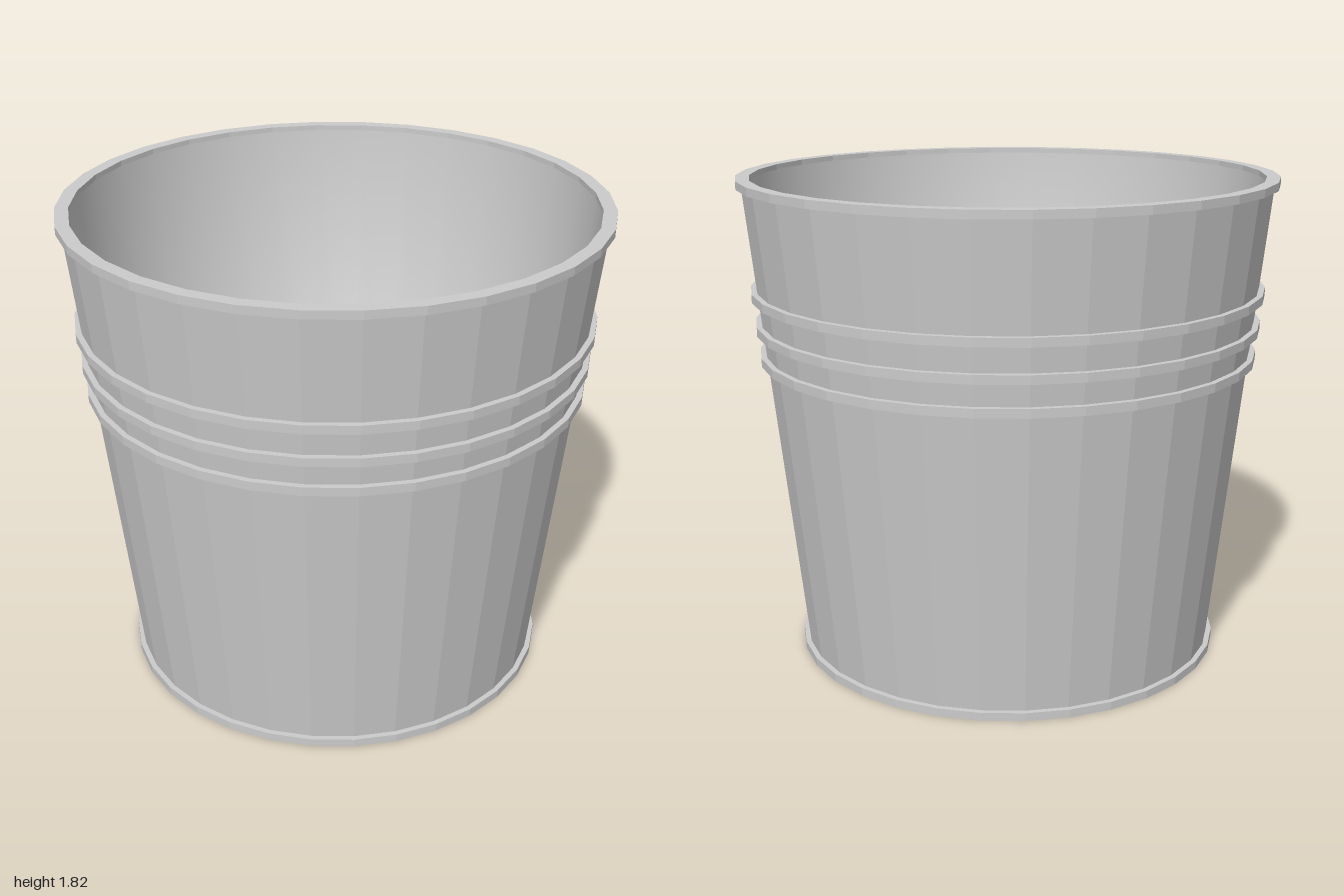
import * as THREE from 'three';

const SIDES = 32;

export function createModel() {
  const bucket = new THREE.Group();
  bucket.name = 'bucket';
  const flat = new THREE.MeshStandardMaterial({ color: 0xcccccc, flatShading: true });
  const smooth = new THREE.MeshStandardMaterial({ color: 0xcccccc });

  // Revolve a profile of [radius, height] points; going upwards faces outwards
  function revolve(name, profile, material) {
    const points = profile.map(([r, y]) => new THREE.Vector2(r, y));
    const mesh = new THREE.Mesh(new THREE.LatheGeometry(points, SIDES), material);
    mesh.name = name;
    bucket.add(mesh);
  }

  // Closed band of rectangular section
  function band(name, inner, outer, y0, y1) {
    revolve(name, [[inner, y0], [outer, y0], [outer, y1], [inner, y1], [inner, y0]], flat);
  }

  const wallRadius = (y) => 0.795 + 0.185 * (y - 0.03) / 1.76;

  // Tapered outer wall and flat underside
  revolve('outerWall', [[wallRadius(0.02), 0.02], [wallRadius(1.8), 1.8]], flat);
  revolve('underside', [[0, 0], [0.815, 0]], flat);

  // Inner wall running into the floor
  revolve('innerLining', [[0.95, 1.8], [0.77, 0.04], [0, 0.04]], smooth);

  // Top rim and foot rim
  band('topRim', 0.95, 1, 1.79, 1.82);
  band('footRim', 0.77, 0.815, 0, 0.03);

  // Three raised hoops around the upper wall
  for (const y of [1.14, 1.255, 1.38]) {
    const r = wallRadius(y);
    band('hoop', r - 0.02, r + 0.025, y, y + 0.032);
  }

  return bucket;
}
